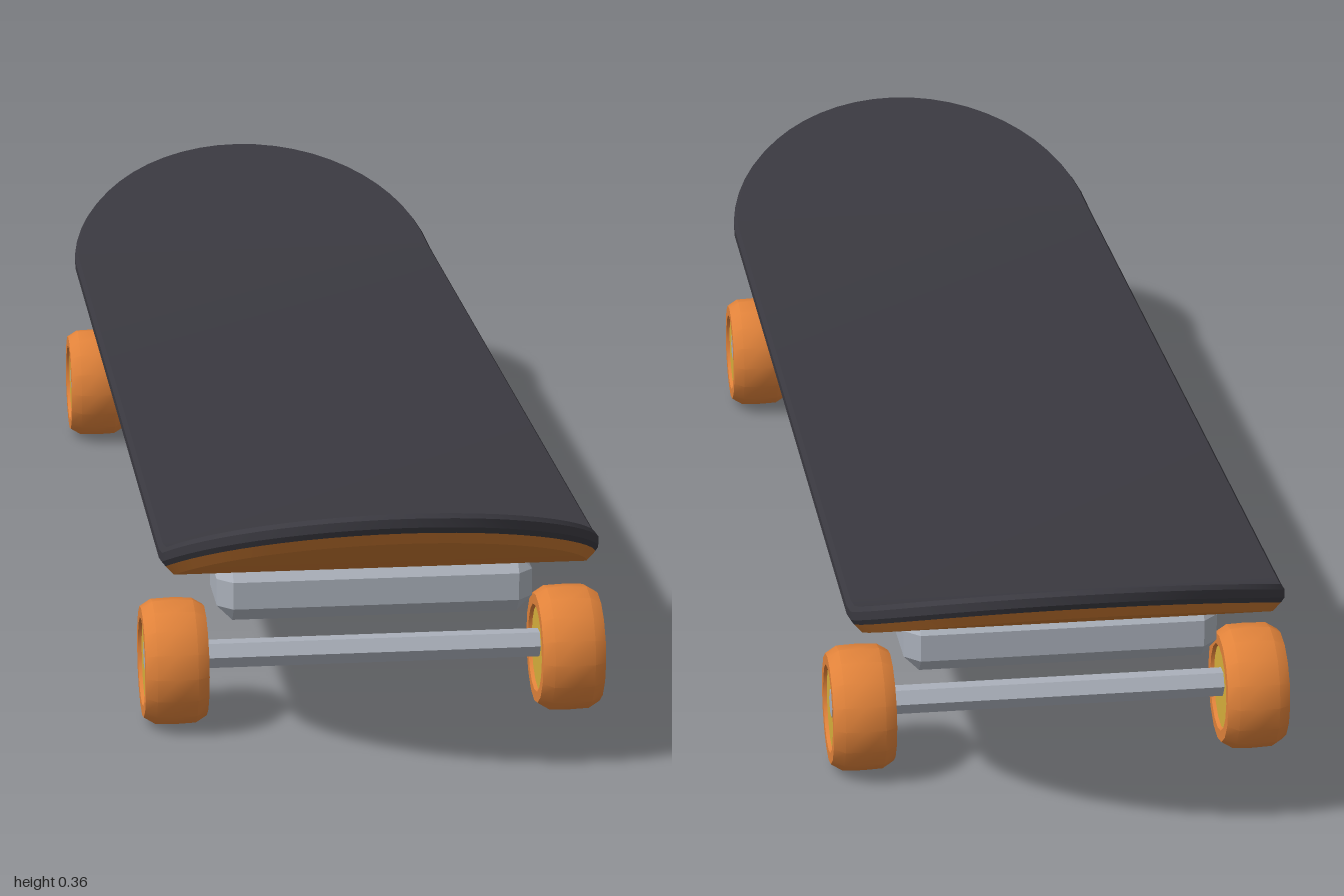
import * as THREE from 'three';
import { toCreasedNormals } from 'three/addons/utils/BufferGeometryUtils.js';
import { ConvexGeometry } from 'three/addons/geometries/ConvexGeometry.js';

const HALF_WIDTH = 0.268, HALF_LENGTH = 1, DECK_Y = 0.219;
const TRUCK_Z = 0.66, AXLE_Y = 0.08;

function material(name, color) {
  const m = new THREE.MeshStandardMaterial({ color });
  m.name = name;
  return m;
}

function addMesh(parent, name, geometry, mat) {
  const mesh = new THREE.Mesh(geometry, mat);
  mesh.name = name;
  parent.add(mesh);
  return mesh;
}

// Height the nose and tail rise above the flat middle of the deck
function kick(z) {
  const t = Math.max(0, (Math.abs(z) - 0.75) / 0.25);
  return 0.109 * Math.pow(t, 1.08);
}

// Right half of the stadium outline, from the tail tip to the nose tip
function halfOutline(inset, height) {
  const r = HALF_WIDTH - inset, straight = HALF_LENGTH - HALF_WIDTH, steps = 14;
  const points = [];
  for (const side of [-1, 1]) {
    for (let i = 0; i <= steps; i++) {
      const a = (side < 0 ? i : steps - i) / steps * Math.PI / 2;
      const z = side * (straight + r * Math.cos(a));
      points.push(new THREE.Vector3(r * Math.sin(a), DECK_Y + height + kick(z), z));
    }
  }
  return points;
}

const mirrored = (p) => new THREE.Vector3(-p.x, p.y, p.z);

// Deck layer: walls through [inset, height] rings, closed on top or below
function deckLayer(rings, capTop, capBottom) {
  const positions = [];
  const tri = (...ps) => ps.forEach((p) => positions.push(p.x, p.y, p.z));
  const quad = (a, b, c, d) => { tri(a, b, c); tri(a, c, d); };
  const loops = rings.map(([inset, height]) => halfOutline(inset, height));
  const n = loops[0].length;
  for (let k = 0; k < loops.length - 1; k++) {
    const lo = loops[k], hi = loops[k + 1];
    for (let i = 0; i < n - 1; i++) {
      quad(lo[i], hi[i], hi[i + 1], lo[i + 1]);
      quad(...[lo[i], lo[i + 1], hi[i + 1], hi[i]].map(mirrored));
    }
  }
  const cap = (loop, up) => {
    for (let i = 0; i < n - 1; i++) {
      const a = loop[i], b = loop[i + 1];
      if (up) quad(a, mirrored(a), mirrored(b), b);
      else quad(a, b, mirrored(b), mirrored(a));
    }
  };
  if (capTop) cap(loops[loops.length - 1], true);
  if (capBottom) cap(loops[0], false);
  const g = new THREE.BufferGeometry();
  g.setAttribute('position', new THREE.Float32BufferAttribute(positions, 3));
  return toCreasedNormals(g, 0.45);
}

// Box with every edge cut at 45 degrees
function chamferedBox(x, y, z, c) {
  const points = [];
  for (const sx of [-1, 1]) for (const sy of [-1, 1]) for (const sz of [-1, 1]) {
    points.push(
      new THREE.Vector3(sx * x, sy * (y - c), sz * (z - c)),
      new THREE.Vector3(sx * (x - c), sy * y, sz * (z - c)),
      new THREE.Vector3(sx * (x - c), sy * (y - c), sz * z));
  }
  return new ConvexGeometry(points);
}

export function createModel() {
  const board = new THREE.Group();
  board.name = 'skateboard';
  const grip = material('charcoal grip', 0x3a3940);
  const wood = material('brown wood', 0xc47530);
  const metal = material('grey metal', 0xaab0ba);
  const rubber = material('orange wheel', 0xe0823a);
  const hubColor = material('yellow hub', 0xd8b03c);

  // Deck: grip layer over a slightly smaller wooden layer
  const deck = new THREE.Group();
  deck.name = 'deck';
  board.add(deck);
  addMesh(deck, 'gripLayer',
    deckLayer([[0.004, 0.011], [0, 0.017], [0, 0.028], [0.005, 0.035]], true, false), grip);
  addMesh(deck, 'woodLayer', deckLayer([[0.014, 0], [0.004, 0.011]], false, true), wood);

  const hangerGeometry = chamferedBox(0.195, 0.036, 0.062, 0.019);
  const axleGeometry = new THREE.CylinderGeometry(0.018, 0.018, 0.562, 6).toNonIndexed();
  axleGeometry.computeVertexNormals();
  axleGeometry.rotateZ(Math.PI / 2);

  // Wheel tread with bevelled shoulders and a recess for the hub
  const tread = [[0.053, -0.033], [0.055, -0.039], [0.069, -0.039], [0.0775, -0.025],
    [0.0785, 0], [0.0775, 0.025], [0.069, 0.039], [0.055, 0.039], [0.053, 0.033]];
  const wheelGeometry = toCreasedNormals(new THREE.LatheGeometry(
    tread.map(([r, h]) => new THREE.Vector2(r, h)), 16), 0.5);
  wheelGeometry.rotateZ(Math.PI / 2);
  const hubGeometry = new THREE.CylinderGeometry(0.054, 0.054, 0.069, 16);
  hubGeometry.rotateZ(Math.PI / 2);

  // Trucks: hanger block, axle and a pair of wheels at each end
  for (const end of [1, -1]) {
    const truck = new THREE.Group();
    truck.name = end > 0 ? 'frontTruck' : 'backTruck';
    truck.position.z = end * TRUCK_Z;
    board.add(truck);
    addMesh(truck, 'hanger', hangerGeometry, metal).position.y = 0.18;
    addMesh(truck, 'axle', axleGeometry, metal).position.y = AXLE_Y + 0.007;
    for (const side of [1, -1]) {
      const wheel = new THREE.Group();
      wheel.name = side > 0 ? 'leftWheel' : 'rightWheel';
      wheel.position.set(side * 0.2455, AXLE_Y, 0);
      truck.add(wheel);
      addMesh(wheel, 'tread', wheelGeometry, rubber);
      addMesh(wheel, 'hub', hubGeometry, hubColor);
    }
  }
  return board;
}
